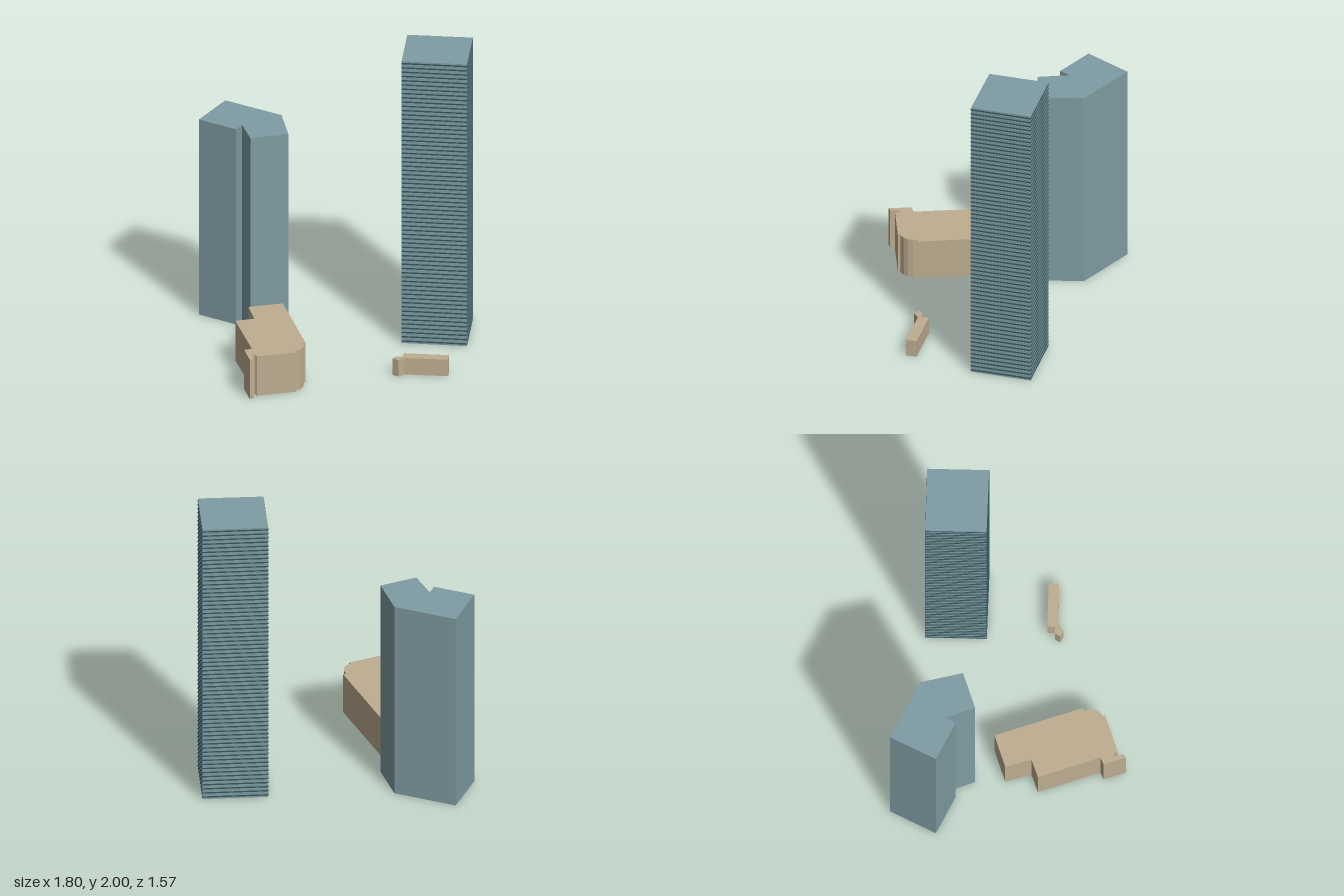
import * as THREE from 'three';

const glass = new THREE.MeshStandardMaterial({ color: 0x7f9ca3, flatShading: true });
const band = new THREE.MeshStandardMaterial({ color: 0x34585f, flatShading: true });
const stone = new THREE.MeshStandardMaterial({ color: 0xbfae91, flatShading: true });

// Upright prism from a ground plan given as [x, z] corners
function prism(name, plan, height, material) {
  const shape = new THREE.Shape(plan.map(([x, z]) => new THREE.Vector2(x, -z)));
  const geometry = new THREE.ExtrudeGeometry(shape, { depth: height, bevelEnabled: false });
  geometry.rotateX(-Math.PI / 2);
  const mesh = new THREE.Mesh(geometry, material);
  mesh.name = name;
  return mesh;
}

// Square tower with a thin dark band at every floor
function createTower() {
  const tower = new THREE.Group();
  tower.name = 'tallTower';
  const plan = [[0.37, -0.69], [0.78, -0.785], [0.87, -0.4], [0.46, -0.31]];
  tower.add(prism('towerBody', plan, 2, glass));

  const cx = 0.62, cz = -0.546, grow = 1.008;
  const bandPlan = plan.map(([x, z]) => [cx + (x - cx) * grow, cz + (z - cz) * grow]);
  const floors = 66, pitch = 2 / floors;
  const first = prism('floorBand', bandPlan, 0.009, band);
  for (let i = 0; i < floors; i++) {
    const floorBand = first.clone();
    floorBand.position.y = (i + 0.35) * pitch;
    tower.add(floorBand);
  }
  return tower;
}

export function createModel() {
  const model = new THREE.Group();
  model.name = 'cityBlock';
  model.add(createTower());

  // Angled tower with a notch between its two wings
  model.add(prism('angledTower', [
    [-0.83, -0.61], [-0.42, -0.52], [-0.29, -0.27], [-0.5, -0.135],
    [-0.615, -0.305], [-0.63, -0.23], [-0.9, -0.29],
  ], 1.385, glass));

  // Low hall with a rounded bay and small corner projections
  model.add(prism('lowHall', [
    [-0.26, -0.07], [0.063, 0.43], [0.045, 0.44], [0.06, 0.465], [0.069, 0.495],
    [0.067, 0.525], [0.057, 0.55], [0.04, 0.567], [0.05, 0.58], [-0.17, 0.72],
    [-0.185, 0.697], [-0.205, 0.707], [-0.175, 0.76], [-0.195, 0.78], [-0.275, 0.655],
    [-0.235, 0.622], [-0.465, 0.27], [-0.36, 0.2], [-0.45, 0.05],
  ], 0.28, stone));

  // Small pavilion with an entrance block at its right end
  model.add(prism('pavilion', [
    [0.88, -0.01], [0.9, 0.055], [0.625, 0.12], [0.6, 0.163],
    [0.555, 0.15], [0.567, 0.115], [0.608, 0.105], [0.598, 0.055],
  ], 0.117, stone));

  return model;
}
